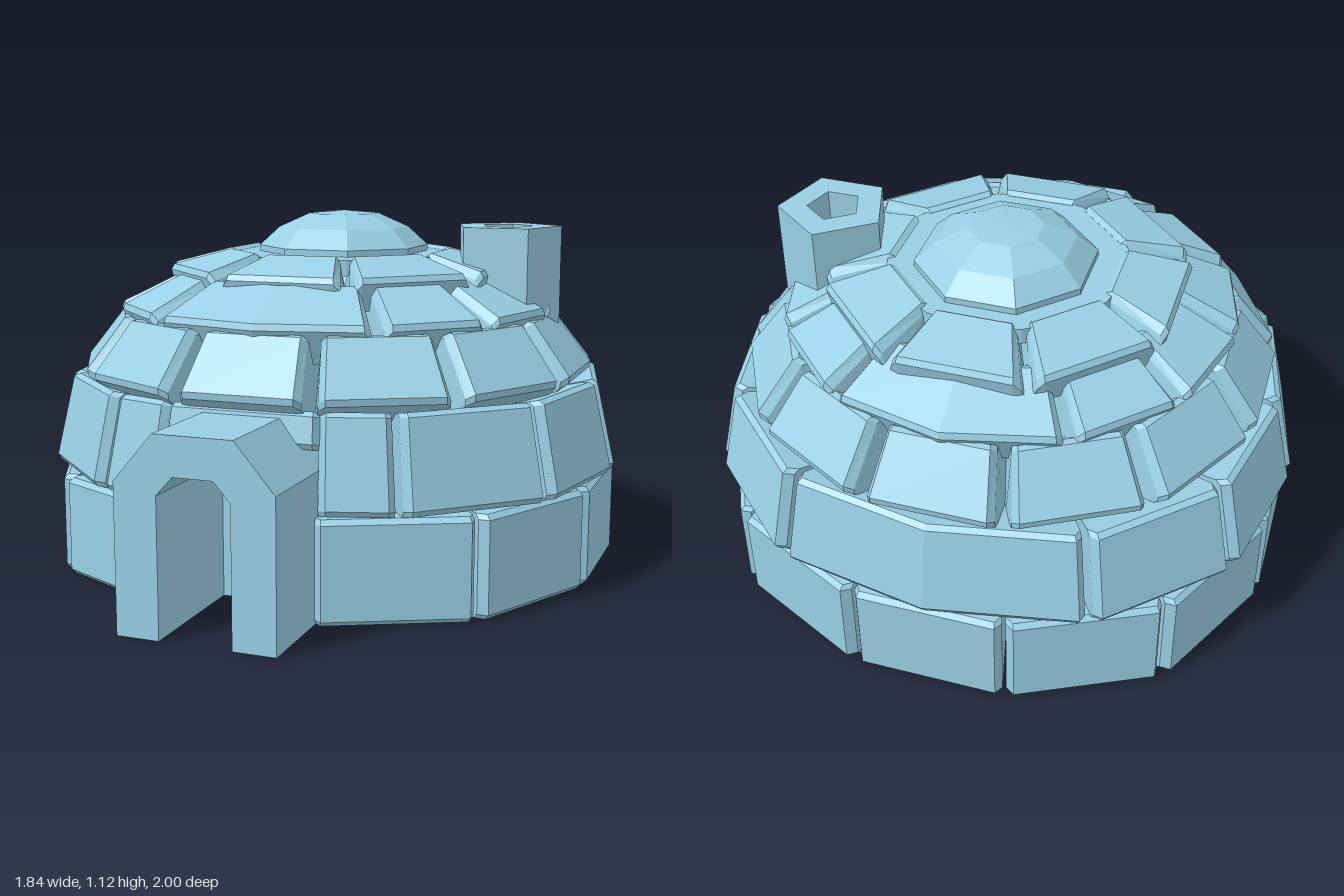
import * as THREE from 'three';

const ice = new THREE.MeshStandardMaterial({ color: 0x99cfe5, flatShading: true, side: THREE.DoubleSide });

function addMesh(parent, name, geometry) {
  const mesh = new THREE.Mesh(geometry, ice);
  mesh.name = name;
  parent.add(mesh);
  return mesh;
}

// One bevelled snow block spanning an arc; its face leans from (r0, y0) to (r1, y1)
// and its thickness runs square to that face. Angle 0 faces +z; bulge widens the diagonals.
function blockGeometry({ y0, y1, r0, r1, depth, gap, bulge }, start, end, bend) {
  const c = 0.015, n = 6;
  const length = Math.hypot(r1 - r0, y1 - y0);
  const ur = (r1 - r0) / length, uy = (y1 - y0) / length;
  const section = (inset) => [
    [0, depth], [0, c + inset], [c, inset],
    [length - c, inset], [length, c + inset], [length, depth],
  ].map(([s, d]) => [r0 + ur * s - uy * d, y0 + uy * s + ur * d]);

  // Each station: angle of the face, inset, angle of the inner edge (neighbours meet inside)
  const lip = 0.022 / r0, a = start + gap, b = end - gap;
  const stations = [[a, 0.025, start], [a + lip, 0, a + lip], [b - lip, 0, b - lip], [b, 0.025, end]];
  if (bend) stations.splice(2, 0, [(a + b) / 2, 0, (a + b) / 2]);

  const positions = [], index = [];
  for (const [face, inset, inner] of stations) {
    const spread = 1 + bulge * Math.sin(2 * face) ** 2;
    section(inset).forEach(([r, y], i) => {
      const angle = i === 0 || i === n - 1 ? inner : face;
      positions.push(r * spread * Math.sin(angle), y, r * spread * Math.cos(angle));
    });
  }
  const last = (stations.length - 1) * n;
  for (let s = 0; s < last; s += n) {
    for (let i = 0; i < n; i++) {
      const j = (i + 1) % n;
      index.push(s + i, s + n + i, s + n + j, s + i, s + n + j, s + j);
    }
  }
  for (let i = 1; i < n - 1; i++) {
    index.push(0, i, i + 1, last, last + i + 1, last + i);
  }
  const g = new THREE.BufferGeometry();
  g.setAttribute('position', new THREE.Float32BufferAttribute(positions, 3));
  g.setIndex(index);
  g.computeVertexNormals();
  return g;
}

// Seam angles in degrees
const doorSeams = Array.from({ length: 12 }, (_, i) => 15 + i * 30);
const centredSeams = [...doorSeams, 375];
const bridgedSeams = [30, 60, 90, 120, 150, 210, 240, 270, 300, 330];
const topSeams = Array.from({ length: 9 }, (_, i) => 22.5 + i * 45);

function addRow(parent, name, row) {
  const group = new THREE.Group();
  group.name = name;
  group.position.z = row.z;
  group.scale.z = row.squash;
  for (let i = 0; i < row.seams.length - 1; i++) {
    const [start, end] = [row.seams[i], row.seams[i + 1]];
    addMesh(group, 'snowBlock', blockGeometry(
      row, THREE.MathUtils.degToRad(start), THREE.MathUtils.degToRad(end), end - start > 45));
  }
  parent.add(group);
}

const toShape = (pts) => new THREE.Shape(pts.map(([x, y]) => new THREE.Vector2(x, y)));

const pentagon = (r) => Array.from({ length: 5 }, (_, i) => {
  const a = Math.PI / 2 + (i * Math.PI * 2) / 5;
  return [r * Math.cos(a), r * Math.sin(a)];
});

export function createModel() {
  const model = new THREE.Group();
  model.name = 'snowHouse';

  // Dome of stacked rows with staggered seams, the lower two open at the door
  const dome = new THREE.Group();
  dome.name = 'dome';
  model.add(dome);
  const second = { gap: 0.012, y0: 0.32, y1: 0.605, r0: 0.925, r1: 0.86, depth: 0.26, bulge: 0.04, z: -0.12, squash: 0.955 };
  addRow(dome, 'baseRow', { seams: doorSeams, gap: 0.006, y0: 0, y1: 0.31, r0: 0.907, r1: 0.907, depth: 0.33, bulge: 0.045, z: -0.115, squash: 0.975 });
  addRow(dome, 'secondRow', { ...second, seams: [15, ...bridgedSeams, 345] });
  addRow(dome, 'lintel', { ...second, seams: [-16, 16], gap: 0, y0: 0.5, r0: 0.885 });
  addRow(dome, 'thirdRow', { seams: centredSeams, gap: 0.028, y0: 0.63, y1: 0.81, r0: 0.84, r1: 0.7, depth: 0.17, bulge: 0.015, z: -0.1, squash: 1 });
  addRow(dome, 'fourthRow', { seams: [...bridgedSeams, 390], gap: 0.028, y0: 0.825, y1: 0.93, r0: 0.715, r1: 0.5, depth: 0.13, bulge: 0, z: -0.1, squash: 1 });
  addRow(dome, 'topRow', { seams: topSeams, gap: 0.04, y0: 0.945, y1: 1.0, r0: 0.565, r1: 0.35, depth: 0.1, bulge: 0, z: -0.13, squash: 1 });

  // Flat crown closing the dome beneath the cap
  const crown = addMesh(dome, 'crown', new THREE.CylinderGeometry(0.37, 0.37, 0.05, 16));
  crown.position.set(0, 0.96, -0.14);

  // Eight-sided faceted cap
  const capProfile = [[0, 0.97], [0.28, 0.97], [0.28, 1.005], [0.215, 1.065], [0.115, 1.11], [0, 1.12]];
  const cap = addMesh(model, 'cap', new THREE.LatheGeometry(
    capProfile.map(([r, y]) => new THREE.Vector2(r, y)), 8, Math.PI / 8));
  cap.position.z = -0.16;

  // Entrance porch with arched doorway, closed at the back
  const porch = new THREE.Group();
  porch.name = 'entrance';
  model.add(porch);
  const shoulders = [[0.24, 0], [0.24, 0.44], [0.12, 0.58], [-0.12, 0.58], [-0.24, 0.44]];
  const arch = [
    [-0.24, 0], [-0.11, 0], [-0.11, 0.41], [-0.06, 0.465], [0.06, 0.465], [0.11, 0.41], [0.11, 0],
  ];
  const frame = addMesh(porch, 'doorFrame',
    new THREE.ExtrudeGeometry(toShape([...arch, ...shoulders]), { depth: 0.42, bevelEnabled: false }));
  frame.position.z = 0.58;
  const back = addMesh(porch, 'doorBack',
    new THREE.ExtrudeGeometry(toShape([[-0.24, 0], ...shoulders]), { depth: 0.27, bevelEnabled: false }));
  back.position.z = 0.31;

  // Five-sided hollow chimney
  const flue = toShape(pentagon(0.175));
  flue.holes.push(new THREE.Path(pentagon(0.085).map(([x, y]) => new THREE.Vector2(x, y))));
  const chimney = addMesh(model, 'chimney',
    new THREE.ExtrudeGeometry(flue, { depth: 0.31, bevelEnabled: false }));
  chimney.rotation.x = -Math.PI / 2;
  chimney.position.set(0.555, 0.77, -0.155);

  return model;
}
